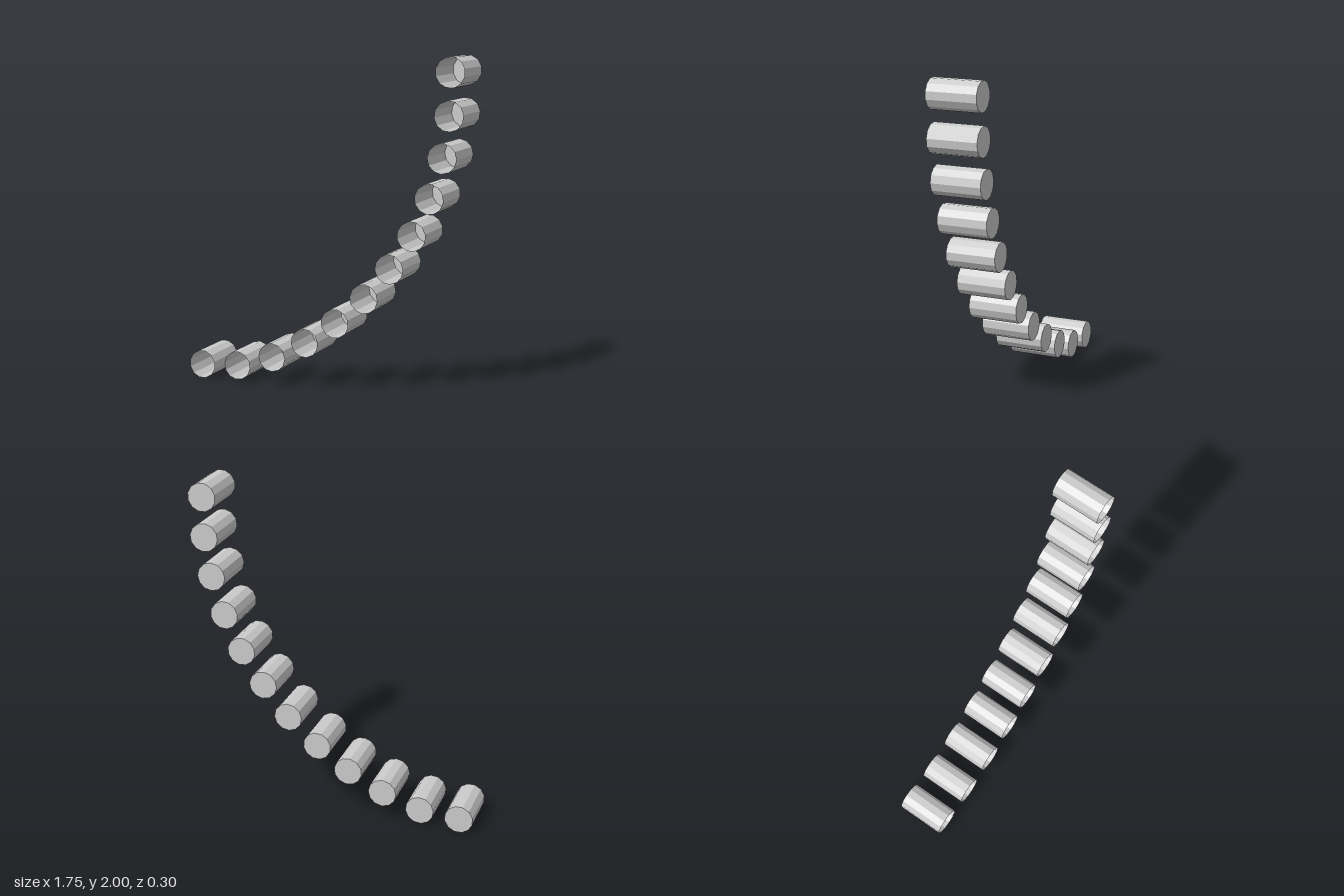
import * as THREE from 'three';

// Cup centres (x, y) along the rising arc
const CENTRES = [
  [-0.796, 0.088], [-0.554, 0.105], [-0.32, 0.18], [-0.103, 0.29],
  [0.093, 0.428], [0.277, 0.592], [0.434, 0.78], [0.569, 0.981],
  [0.673, 1.201], [0.747, 1.434], [0.785, 1.672], [0.79, 1.915],
];
const RADIUS = 0.087, DEPTH = 0.297, SIDES = 12;

export function createModel() {
  const group = new THREE.Group();
  group.name = 'cupArc';
  const material = new THREE.MeshStandardMaterial({
    color: 0xcccccc, flatShading: true, side: THREE.DoubleSide,
  });

  // Thin tube wall, open toward the front
  const wall = new THREE.CylinderGeometry(RADIUS, RADIUS, DEPTH, SIDES, 1, true);
  wall.rotateX(Math.PI / 2);
  wall.rotateZ(Math.PI / SIDES);

  // Flat disc closing the back
  const back = new THREE.CircleGeometry(RADIUS, SIDES);
  back.rotateY(Math.PI);
  back.rotateZ(Math.PI / SIDES);
  back.translate(0, 0, -DEPTH / 2);

  CENTRES.forEach(([x, y], i) => {
    const cup = new THREE.Group();
    cup.name = `cup${i + 1}`;
    const wallMesh = new THREE.Mesh(wall, material);
    wallMesh.name = 'cupWall';
    const backMesh = new THREE.Mesh(back, material);
    backMesh.name = 'cupBack';
    cup.add(wallMesh, backMesh);
    cup.position.set(x, y, 0);
    // Each cup turns with the arc, a quarter turn in all
    cup.rotation.z = (i / (CENTRES.length - 1)) * Math.PI / 2;
    group.add(cup);
  });
  return group;
}
